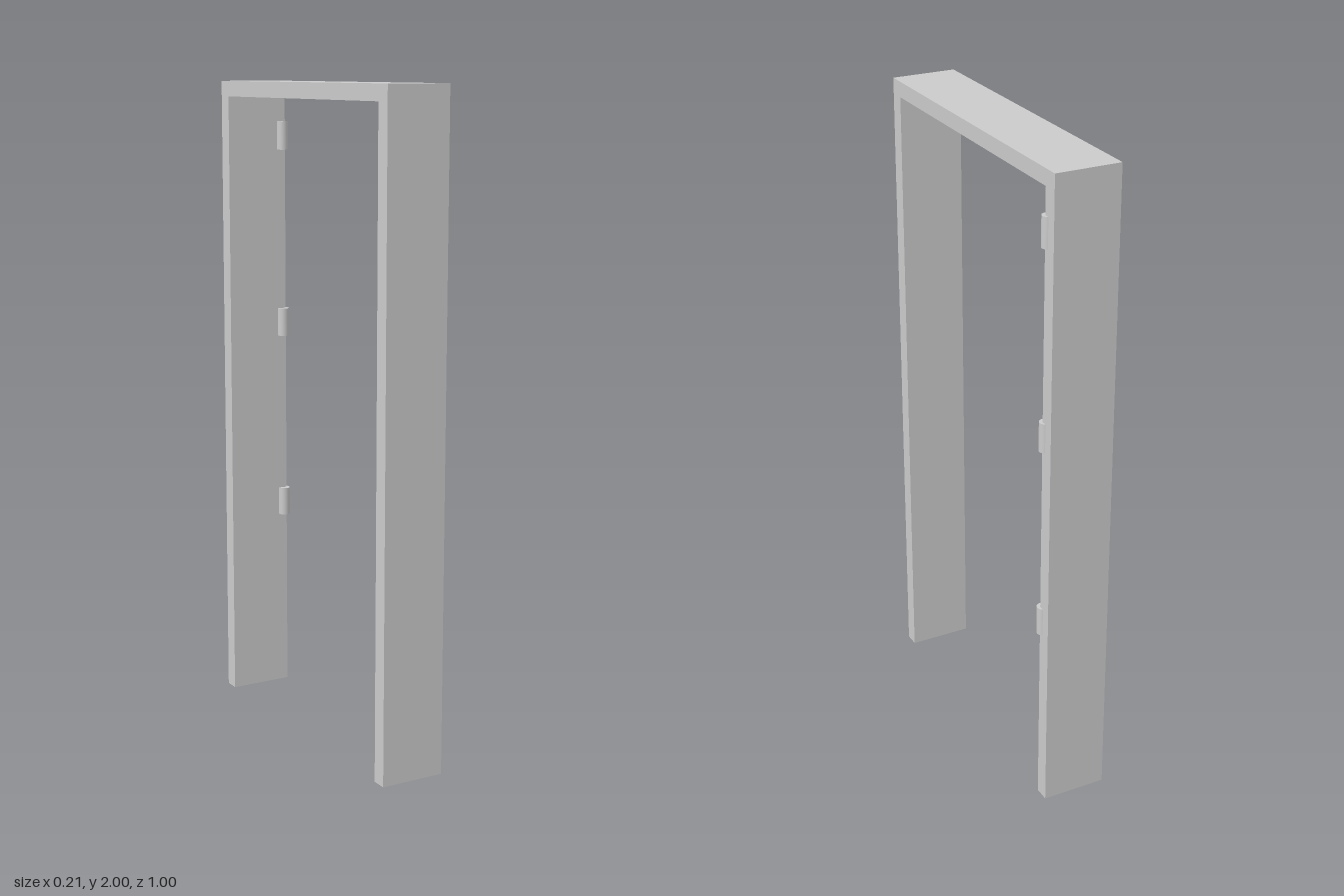
import * as THREE from 'three';

const HEIGHT = 2, HALF_WIDTH = 0.5, THICK = 0.0476; // frame outline
const BACK = -0.1048, DEPTH = 0.2;                   // frame extent along x
const HINGE_R = 0.019, HINGE_H = 0.09;

export function createModel() {
  const group = new THREE.Group();
  group.name = 'doorFrame';
  const material = new THREE.MeshStandardMaterial({ color: 0xcccccc });

  // Two jambs and the head as one inverted U, extruded along x
  const inner = HALF_WIDTH - THICK, top = HEIGHT - THICK;
  const outline = new THREE.Shape([
    [-HALF_WIDTH, 0], [-inner, 0], [-inner, top], [inner, top],
    [inner, 0], [HALF_WIDTH, 0], [HALF_WIDTH, HEIGHT], [-HALF_WIDTH, HEIGHT],
  ].map(([x, y]) => new THREE.Vector2(x, y)));
  const frameGeometry = new THREE.ExtrudeGeometry(outline, { depth: DEPTH, bevelEnabled: false });
  frameGeometry.rotateY(Math.PI / 2).translate(BACK, 0, 0);
  const frame = new THREE.Mesh(frameGeometry, material);
  frame.name = 'jambsAndHead';
  group.add(frame);

  // Three hinge barrels, half sunk into the inner corner of the rear jamb
  const hingeGeometry = new THREE.CylinderGeometry(HINGE_R, HINGE_R, HINGE_H, 32);
  [0.624, 1.226, 1.828].forEach((y, i) => {
    const hinge = new THREE.Mesh(hingeGeometry, material);
    hinge.name = `hinge${i + 1}`;
    hinge.position.set(BACK + DEPTH - 0.0095, y, -inner);
    group.add(hinge);
  });

  return group;
}
